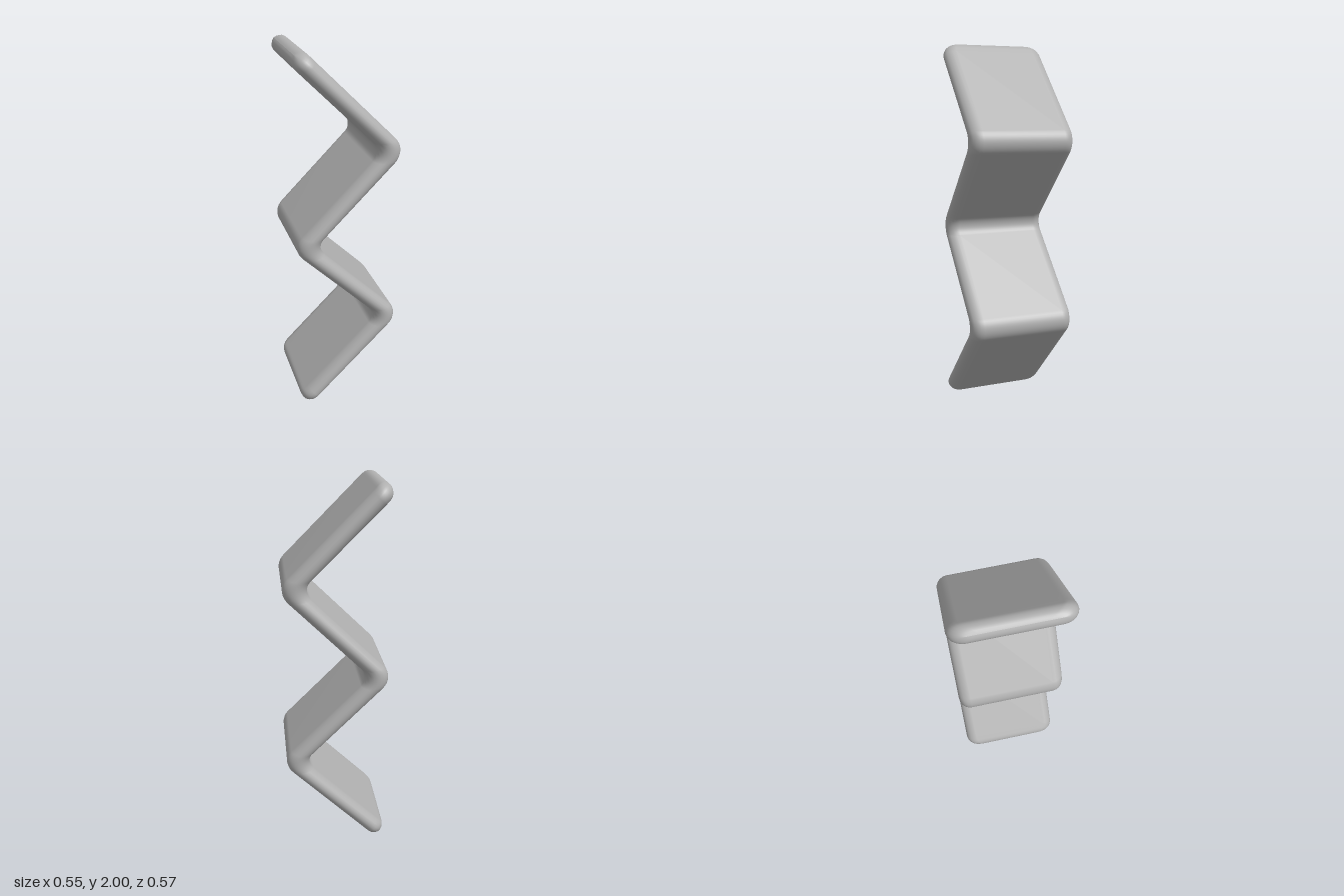
import * as THREE from 'three';

const HALF_THICK = 0.046, HALF_DEPTH = 0.285;
const EDGE = 0.06;      // rounding of the long edges, measured along z
const END_CORNER = 0.08; // rounding of the four end corners
const ARC = 10;

// Centre line of the folded band, from bottom to top
const path = [[-0.225, 0.046], [0.243, 0.514], [-0.243, 1], [0.243, 1.486], [-0.225, 1.954]]
  .map(([x, y]) => new THREE.Vector2(x, y));
const along = (p, d, t) => p.clone().addScaledVector(d, t);
const normalOf = (d) => new THREE.Vector2(-d.y, d.x);

// Stations across a rounded end: thickness and depth shrink to the tip
function endStations(end, outward, forward) {
  const n = normalOf(forward);
  const list = [];
  for (let i = 0; i <= ARC; i++) {
    const a = (i / ARC) * Math.PI / 2;
    const u = END_CORNER * (1 - Math.cos(a));
    const k = Math.max(0, 1 - u / HALF_THICK);
    const h = HALF_THICK * Math.sqrt(1 - k * k);
    const centre = along(end, outward, HALF_THICK - u);
    list.push({
      left: along(centre, n, h), right: along(centre, n, -h),
      depth: HALF_DEPTH - END_CORNER * (1 - Math.sin(a)),
    });
  }
  return list;
}

// Stations round a right-angled fold, with both faces filleted
function foldStations(v, d0, d1) {
  const bisector = normalOf(d0).add(normalOf(d1));
  const turn = Math.sign(d0.cross(d1));
  const point = (side, a) => {
    const r = side * turn < 0 ? 0.085 : 0.07;
    const corner = along(v, bisector, side * HALF_THICK);
    return along(along(corner, d0, r * (Math.sin(a) - 1)), d1, r * (1 - Math.cos(a)));
  };
  return Array.from({ length: ARC + 1 }, (_, i) => {
    const a = (i / ARC) * Math.PI / 2;
    return { left: point(1, a), right: point(-1, a), depth: HALF_DEPTH };
  });
}

// Closed cross-section: two flat faces joined by rounded edges
function section({ left, right, depth }) {
  const mid = left.clone().add(right).multiplyScalar(0.5);
  const half = left.clone().sub(mid);
  const ring = [];
  for (const s of [1, -1]) {
    for (let i = 0; i <= ARC; i++) {
      const t = (i / ARC) * Math.PI;
      const p = along(mid, half, s * Math.cos(t));
      ring.push(p.x, p.y, s * (depth - EDGE + EDGE * Math.sin(t)));
    }
  }
  return ring;
}

function bandGeometry() {
  const dirs = path.slice(1).map((p, i) => p.clone().sub(path[i]).normalize());
  const last = dirs.length - 1;
  const stations = endStations(path[0], dirs[0].clone().negate(), dirs[0]);
  for (let i = 1; i <= last; i++) stations.push(...foldStations(path[i], dirs[i - 1], dirs[i]));
  stations.push(...endStations(path[last + 1], dirs[last], dirs[last]).reverse());

  const positions = stations.flatMap(section);
  const count = 2 * (ARC + 1);
  const index = [];
  for (let i = 0; i < stations.length - 1; i++) {
    for (let j = 0; j < count; j++) {
      const k = (j + 1) % count;
      const a = i * count + j, b = i * count + k;
      index.push(a, b, a + count, b, b + count, a + count);
    }
  }
  const g = new THREE.BufferGeometry();
  g.setAttribute('position', new THREE.Float32BufferAttribute(positions, 3));
  g.setIndex(index);
  g.computeVertexNormals();
  return g;
}

export function createModel() {
  const group = new THREE.Group();
  group.name = 'zigzag';
  const grey = new THREE.MeshStandardMaterial({ color: 0xb0b0b0 });
  grey.name = 'grey';
  const band = new THREE.Mesh(bandGeometry(), grey);
  band.name = 'foldedBand';
  group.add(band);
  return group;
}
